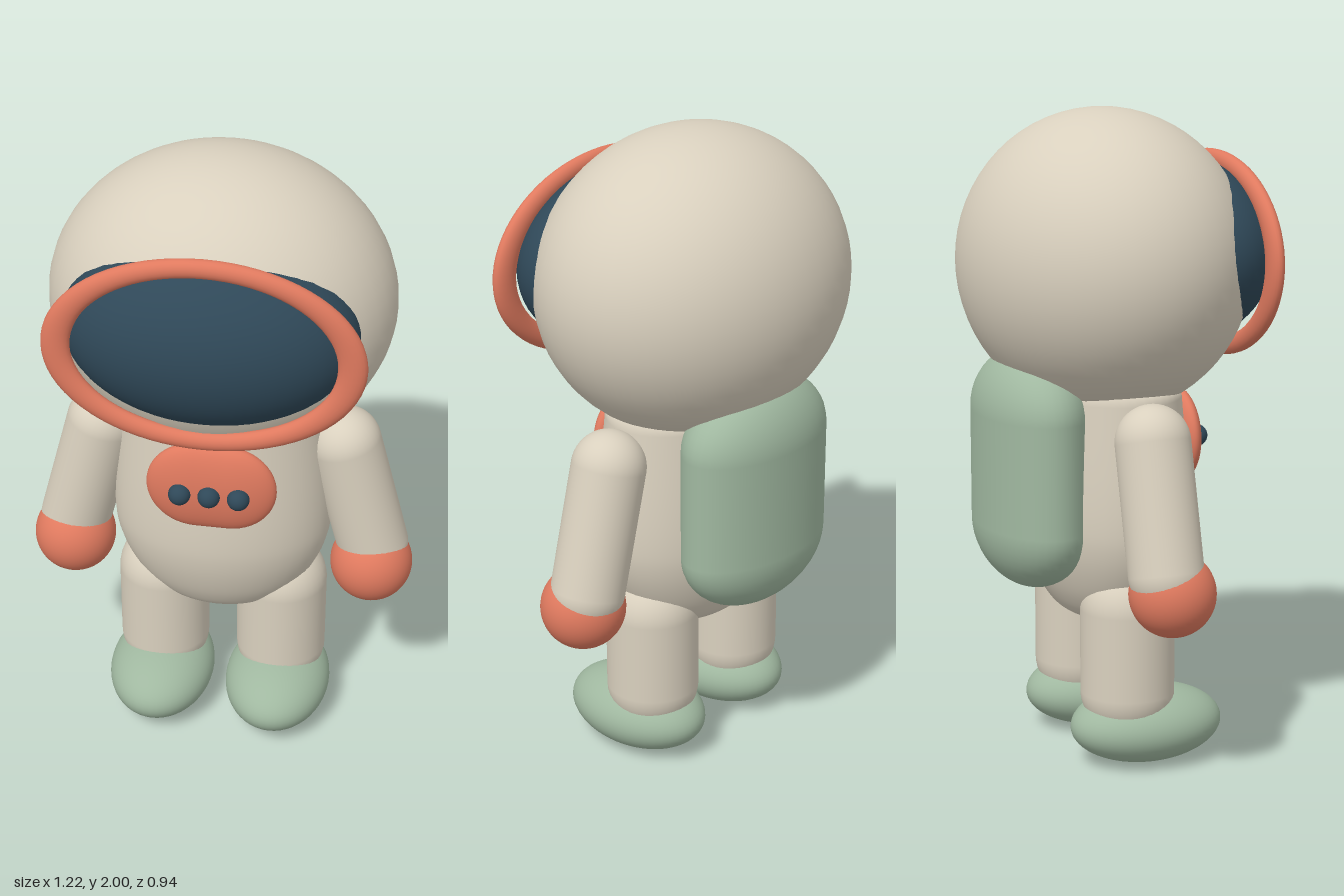
import * as THREE from 'three';

const material = (name, color) => {
  const m = new THREE.MeshStandardMaterial({ color });
  m.name = name;
  return m;
};

export function createModel() {
  const cream = material('cream suit', 0xd9d0be);
  const coral = material('coral trim', 0xe07a5f);
  const sage = material('sage gear', 0xa0b8a0);
  const navy = material('navy glass', 0x2f4858);

  const model = new THREE.Group();
  model.name = 'astronaut';
  const axisZ = -0.03; // depth of the body's centre line

  const add = (name, geometry, mat, [x, y, z], scale = [1, 1, 1]) => {
    const mesh = new THREE.Mesh(geometry, mat);
    mesh.name = name;
    mesh.position.set(x, y, z);
    mesh.scale.set(...scale);
    model.add(mesh);
    return mesh;
  };
  const ellipsoid = (name, mat, position, radii) =>
    add(name, new THREE.SphereGeometry(1, 48, 32), mat, position, radii);

  // Helmet, bulging visor and its oval rim
  ellipsoid('helmet', cream, [0, 1.535, axisZ], [0.52, 0.465, 0.44]);
  ellipsoid('visor', navy, [0, 1.565, 0.203], [0.435, 0.29, 0.27]);
  add('visorRim', new THREE.TorusGeometry(0.4275, 0.0425, 20, 72), coral,
    [0, 1.547, 0.338], [1, 0.675, 0.576]);

  // Torso: a lathe flattened front to back
  const profile = [
    [0.1, 0.426], [0.197, 0.46], [0.26, 0.52], [0.305, 0.595],
    [0.335, 0.68], [0.345, 0.77], [0.338, 0.92], [0.312, 1.17],
  ].map(([r, y]) => new THREE.Vector2(r, y));
  const curve = new THREE.SplineCurve([new THREE.Vector2(0, 0.42), ...profile]);
  const outline = [...curve.getPoints(40), new THREE.Vector2(0, 1.2)];
  outline[0].x = 0;
  add('torso', new THREE.LatheGeometry(outline, 48), cream, [0, 0, axisZ], [1, 1, 0.71]);

  // Backpack: a wide capsule flattened in depth
  add('backpack', new THREE.CapsuleGeometry(0.2, 0.34, 12, 40), sage,
    [0, 0.915, -0.275], [1.42, 1, 0.8]);

  // Chest panel with three buttons
  const panel = new THREE.CapsuleGeometry(0.15, 0.1, 12, 36).rotateZ(Math.PI / 2);
  add('chestPanel', panel, coral, [0, 0.99, 0.197], [1, 1, 0.33]);
  for (const x of [-0.09, 0, 0.09]) {
    ellipsoid('chestButton', navy, [x, 0.987, 0.247], [0.034, 0.034, 0.034]);
  }

  // Limbs, mirrored left and right
  for (const side of [1, -1]) {
    const label = side > 0 ? 'left' : 'right';

    const shoulder = new THREE.Vector3(side * 0.38, 1.043, axisZ);
    const wrist = new THREE.Vector3(side * 0.48, 0.665, axisZ);
    const length = shoulder.distanceTo(wrist);
    const middle = shoulder.clone().add(wrist).multiplyScalar(0.5);
    const arm = add(label + 'Arm', new THREE.CapsuleGeometry(0.113, length, 12, 36), cream,
      middle.toArray());
    arm.quaternion.setFromUnitVectors(new THREE.Vector3(0, 1, 0),
      shoulder.clone().sub(wrist).normalize());
    ellipsoid(label + 'Hand', coral, [side * 0.48, 0.607, -0.01], [0.13, 0.13, 0.13]);

    add(label + 'Leg', new THREE.CapsuleGeometry(0.145, 0.26, 12, 36), cream,
      [side * 0.193, 0.36, axisZ]);
    ellipsoid(label + 'Boot', sage, [side * 0.193, 0.118, 0.033], [0.17, 0.118, 0.243]);
  }

  return model;
}
